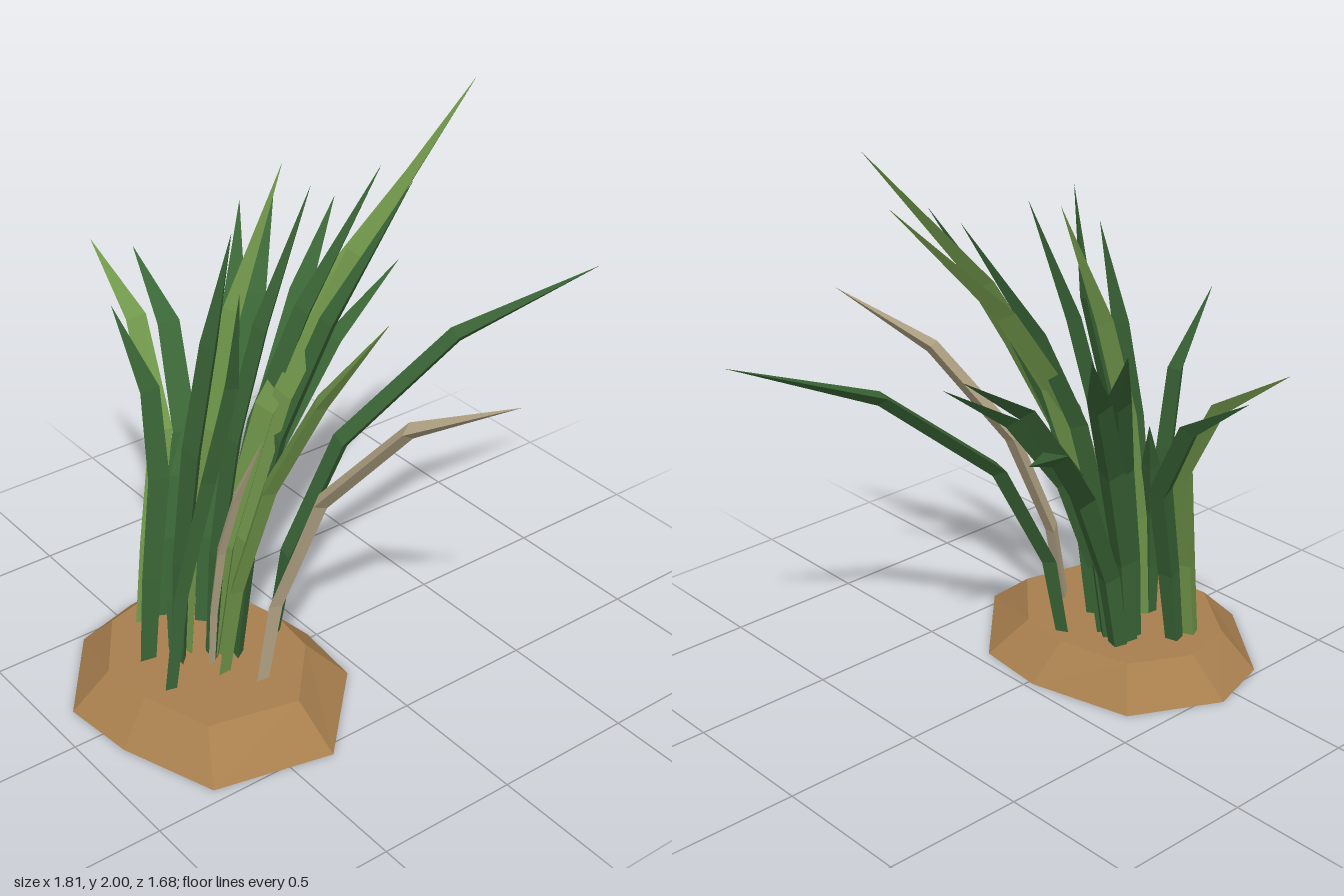
import * as THREE from 'three';

const paint = (name, color) => {
  const m = new THREE.MeshStandardMaterial({ color, flatShading: true });
  m.name = name;
  return m;
};

// Skin a stack of equal-sized rings (counter-clockwise about the upward path), with both ends closed
function loft(rings) {
  const pos = [];
  const tri = (...pts) => pts.forEach((p) => pos.push(p.x, p.y, p.z));
  const n = rings[0].length;
  for (let r = 0; r < rings.length - 1; r++) {
    const a = rings[r], b = rings[r + 1];
    for (let i = 0; i < n; i++) {
      const j = (i + 1) % n;
      tri(a[i], a[j], b[j]);
      tri(a[i], b[j], b[i]);
    }
  }
  const lo = rings[0], hi = rings[rings.length - 1];
  for (let i = 1; i < n - 1; i++) {
    tri(lo[0], lo[i + 1], lo[i]);
    tri(hi[0], hi[i], hi[i + 1]);
  }
  const g = new THREE.BufferGeometry();
  g.setAttribute('position', new THREE.Float32BufferAttribute(pos, 3));
  g.computeVertexNormals();
  return g;
}

// Bending three-sided blade, flat on its upper side and ridged below, swinging outwards to a sharp tip
function bladeGeometry([bx, bz, tx, ty, tz, droop, bow, width]) {
  const upright = [[0, 0], [0.25, 0.09], [0.5, 0.28], [0.72, 0.55], [1, 1]];
  const drooping = [[0, 0], [0.26, 0.02], [0.58, 0.13], [0.85, 0.5], [1, 1]];
  const swell = [0.75, 0.9, 1, 0.9, 0.01];
  const y0 = 0.11;
  const path = upright.map(([uy, uh], i) => {
    const y = THREE.MathUtils.lerp(uy, drooping[i][0], droop);
    const h = THREE.MathUtils.lerp(uh, drooping[i][1], droop);
    return new THREE.Vector3(
      bx + (tx - bx) * h + bow * 6.75 * y * y * (1 - y), y0 + (ty - y0) * y, bz + (tz - bz) * h);
  });
  const side = new THREE.Vector3(bz - tz, 0, tx - bx).normalize();
  return loft(path.map((p, i) => {
    const t = path[Math.min(i + 1, 4)].clone().sub(path[Math.max(i - 1, 0)]).normalize();
    const s = side.clone().addScaledVector(t, -side.dot(t)).normalize();
    const n = t.clone().cross(s);
    const w = width * swell[i];
    return [[0.5, -0.2], [0, 0.3], [-0.5, -0.2]].map(([u, v]) =>
      p.clone().addScaledVector(s, u * w).addScaledVector(n, v * w));
  }));
}

export function createModel() {
  const group = new THREE.Group();
  const soil = paint('soil brown', 0xa87f4e);
  const green = paint('leaf green', 0x3a6536);
  const light = paint('light leaf green', 0x70964a);
  const dry = paint('dry straw', 0xb5a687);

  // Faceted earth mound: irregular outline narrowing to a flat top
  const outline = [[-0.43, -0.55], [-0.67, -0.48], [-0.91, -0.16], [-0.88, 0.11], [-0.76, 0.45],
    [-0.35, 0.545], [-0.05, 0.24], [-0.025, -0.02], [-0.12, -0.39]];
  const top = [[-0.42, -0.41], [-0.62, -0.36], [-0.78, -0.13], [-0.76, 0.06], [-0.68, 0.31],
    [-0.37, 0.385], [-0.17, 0.16], [-0.15, -0.03], [-0.21, -0.3]];
  const ring = (pts, y) => pts.map(([x, z]) => new THREE.Vector3(x, y, z));
  const mound = new THREE.Mesh(loft([ring(outline, 0), ring(top, 0.13)]), soil);
  mound.name = 'mound';
  group.add(mound);

  const addBlades = (name, material, rows) => {
    const tuft = new THREE.Group();
    tuft.name = name + 's';
    for (const row of rows) {
      const mesh = new THREE.Mesh(bladeGeometry(row), material);
      mesh.name = name;
      tuft.add(mesh);
    }
    group.add(tuft);
  };

  // Each row: root x, root z, tip x, tip y, tip z, droop, bow towards +x, width
  addBlades('greenBlade', green, [
    [-0.66, 0.07, -0.52, 1.64, 0.31, 0.3, 0.12, 0.075],
    [-0.64, -0.11, -0.61, 1.4, -0.26, 0.4, 0.1, 0.075],
    [-0.55, -0.04, -0.30, 1.64, -0.04, 0.3, 0.03, 0.09],
    [-0.45, 0.01, -0.04, 1.75, 0.02, 0.1, 0, 0.08],
    [-0.38, 0.05, 0.24, 1.75, 0.18, 0.1, 0, 0.09],
    [-0.39, -0.03, 0.25, 1.74, 0.01, 0.1, 0, 0.09],
    [-0.46, -0.29, -0.18, 1.27, -0.81, 0.95, 0.14, 0.085],
    [-0.36, -0.17, 0.12, 1.44, -0.59, 0.6, 0.07, 0.09],
    [-0.33, -0.18, 0.26, 1.46, -0.58, 0.6, 0.07, 0.09],
    [-0.28, -0.18, 0.62, 1.28, -0.70, 1, 0.14, 0.09],
    [-0.30, -0.11, 0.50, 1.37, -0.28, 0.85, 0.1, 0.09],
    [-0.31, -0.07, 0.46, 1.29, -0.14, 0.85, 0.1, 0.085],
    [-0.21, 0.03, 0.90, 1.33, 0.37, 1, 0.12, 0.085],
    [-0.53, -0.09, -0.37, 0.95, -0.22, 0.4, 0, 0.07],
  ]);
  addBlades('lightBlade', light, [
    [-0.53, -0.3, -0.33, 1.33, -0.84, 0.95, 0.13, 0.08],
    [-0.50, -0.07, -0.03, 1.77, -0.14, 0.1, 0, 0.09],
    [-0.44, 0.0, 0.52, 1.84, 0.02, 0.2, 0, 0.1],
    [-0.42, 0.04, 0.54, 2.0, 0.12, 0.1, 0, 0.1],
    [-0.47, 0.1, -0.08, 1.46, 0.46, 0.4, 0.06, 0.09],
  ]);
  addBlades('dryBlade', dry, [
    [-0.39, 0.21, 0.12, 1.28, 0.84, 1, 0.12, 0.085],
    [-0.48, 0.04, -0.33, 1.0, 0.15, 0.3, 0, 0.055],
  ]);
  return group;
}
